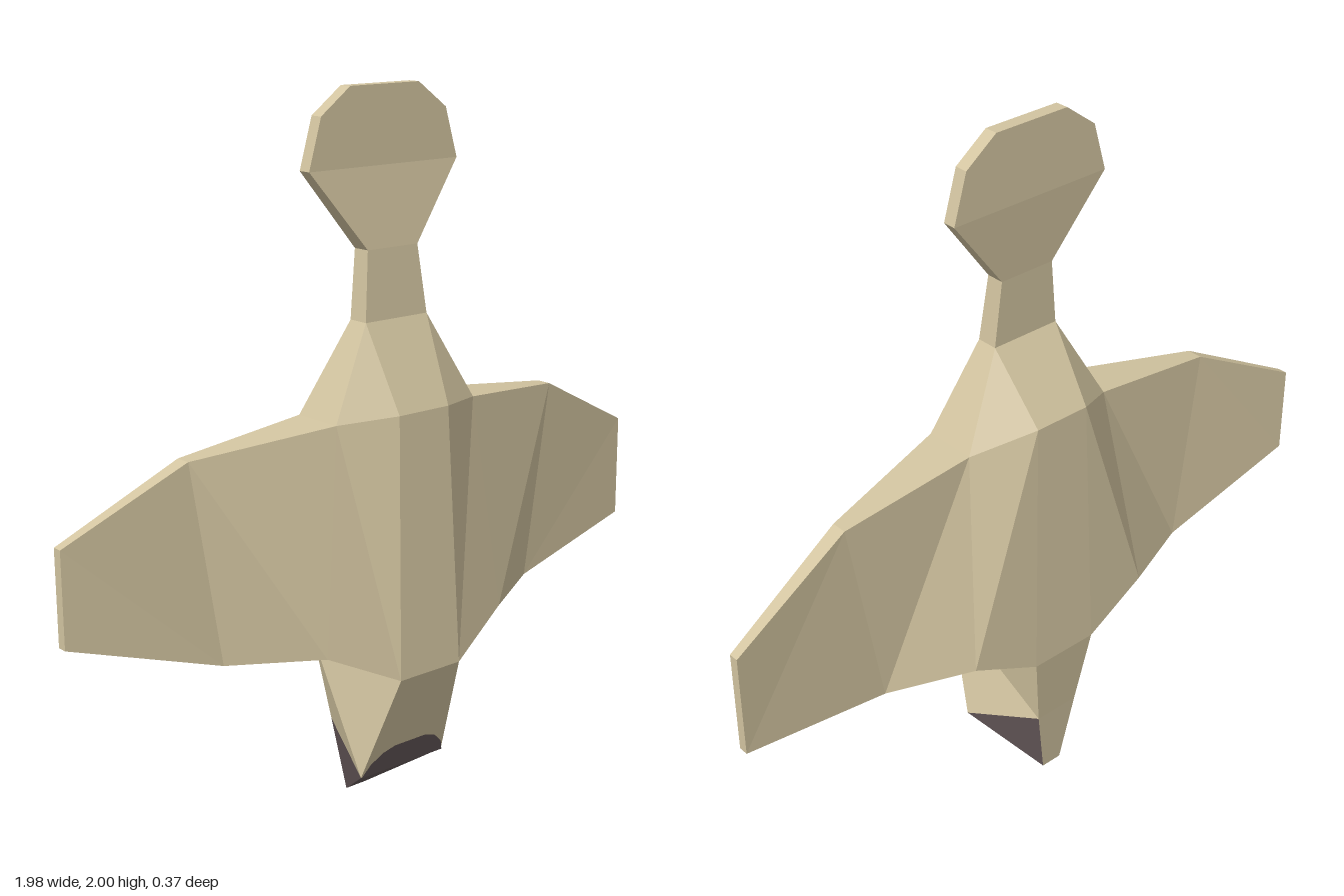
import * as THREE from 'three';

// Skin a list of equal-length vertex loops; options: faces (which strips), flip, cap (close the last loop)
function loft(name, material, loops, { faces, flip = false, cap = false } = {}) {
  const pos = [];
  const tri = (a, b, c) => {
    const v = [a, b, c].map(p => new THREE.Vector3(...p));
    const area = v[1].clone().sub(v[0]).cross(v[2].clone().sub(v[0])).length();
    if (area < 1e-7) return;
    pos.push(...a, ...(flip ? c : b), ...(flip ? b : c));
  };
  const n = loops[0].length;
  const strips = faces || loops[0].map((_, i) => i);
  for (let s = 0; s < loops.length - 1; s++) {
    const A = loops[s], B = loops[s + 1];
    for (const i of strips) {
      const j = (i + 1) % n;
      tri(A[i], A[j], B[i]);
      tri(A[j], B[j], B[i]);
    }
  }
  if (cap) {
    const L = loops[loops.length - 1];
    for (let i = 1; i < n - 1; i++) tri(L[0], L[i], L[i + 1]);
  }
  const g = new THREE.BufferGeometry();
  g.setAttribute('position', new THREE.Float32BufferAttribute(pos, 3));
  g.computeVertexNormals();
  const mesh = new THREE.Mesh(g, material);
  mesh.name = name;
  return mesh;
}

// Horizontal four-corner section, front edge first
const ring = (x0, x1, y, zf, zb) => [[x0, y, zf], [x1, y, zf], [x1, y, zb], [x0, y, zb]];

export function createModel() {
  const group = new THREE.Group();
  const tan = new THREE.MeshStandardMaterial({ color: 0xd2c4a0, flatShading: true });
  tan.name = 'sand feathers';
  const dark = new THREE.MeshStandardMaterial({ color: 0x66595a, flatShading: true });
  dark.name = 'dark beak';

  // Wing sections: front top, front bottom, back bottom, back top
  const centre = (xt, xb) => [[xt, 1.17, 0.155], [xb, 0.45, 0.185], [xb, 0.45, -0.183], [xt, 1.21, -0.16]];
  const root = (xt, xb) => [[xt, 1.155, 0.08], [xb, 0.545, 0.122], [xb, 0.545, -0.17], [xt, 1.155, -0.073]];
  const mid = (xt, xb) => [[xt, 1.11, -0.022], [xb, 0.545, -0.02], [xb, 0.545, -0.08], [xt, 1.11, -0.067]];
  const tip = (x, yt, yb) => [[x, yt, -0.08], [x, yb, -0.08], [x, yb, -0.108], [x, yt, -0.108]];
  const cR = centre(-0.11, -0.13), cL = centre(0.06, 0.08);
  const rR = root(-0.26, -0.33), rL = root(0.22, 0.29);

  // Body strips and wings, each side built outward from the middle
  group.add(loft('body', tan, [cR, cL], { faces: [0, 2] }));
  group.add(loft('leftWing', tan, [cL, rL, mid(0.62, 0.53), tip(0.987, 0.93, 0.63)], { cap: true }));
  group.add(loft('rightWing', tan, [cR, rR, mid(-0.65, -0.56), tip(-0.99, 0.94, 0.68)], { cap: true, flip: true }));

  // Rump tapering from the shoulders to the tail
  const [tfR, tfL, tbL, tbR] = ring(-0.13, 0.08, 1.4, 0.045, -0.017);
  group.add(loft('rump', tan, [
    [rR[0], cR[0], cL[0], rL[0], rL[3], cL[3], cR[3], rR[3]],
    [tfR, tfR, tfL, tfL, tbL, tbL, tbR, tbR],
  ]));

  // Tail with a flat rounded fan
  group.add(loft('tail', tan, [
    [tfR, tfL, tbL, tbR],
    ring(-0.11, 0.06, 1.585, 0.03, -0.022),
    ring(-0.275, 0.225, 1.795, 0, -0.038),
    ring(-0.235, 0.185, 1.93, 0, -0.038),
    ring(-0.14, 0.09, 2, 0, -0.038),
  ], { cap: true }));

  // Head
  const neckTop = [cR[1], cL[1], cL[2], cR[2]];
  const beakBase = [[-0.175, 0.14, 0.07], [0.12, 0.14, 0.07], [0.045, 0.22, -0.156], [-0.095, 0.22, -0.156]];
  const beakTip = ring(-0.06, 0.005, 0, -0.132, -0.134);
  group.add(loft('head', tan, [beakBase, neckTop]));

  // Beak: dark front and sides, plain back
  group.add(loft('beak', dark, [beakTip, beakBase], { faces: [0, 1, 3] }));
  group.add(loft('beakBack', tan, [beakTip, beakBase], { faces: [2] }));

  // Curved dark marking on the throat, just proud of the head's front face
  const arc = [[0.12, 0.14], [0.105, 0.175], [0.07, 0.207], [0.03, 0.22], [-0.08, 0.22], [-0.12, 0.207], [-0.155, 0.178], [-0.175, 0.14]];
  const marking = arc.map(([x, y]) => [x, y, 0.073 + (y - 0.14) * 0.371]);
  group.add(loft('throatMarking', dark, [marking], { cap: true }));

  return group;
}
